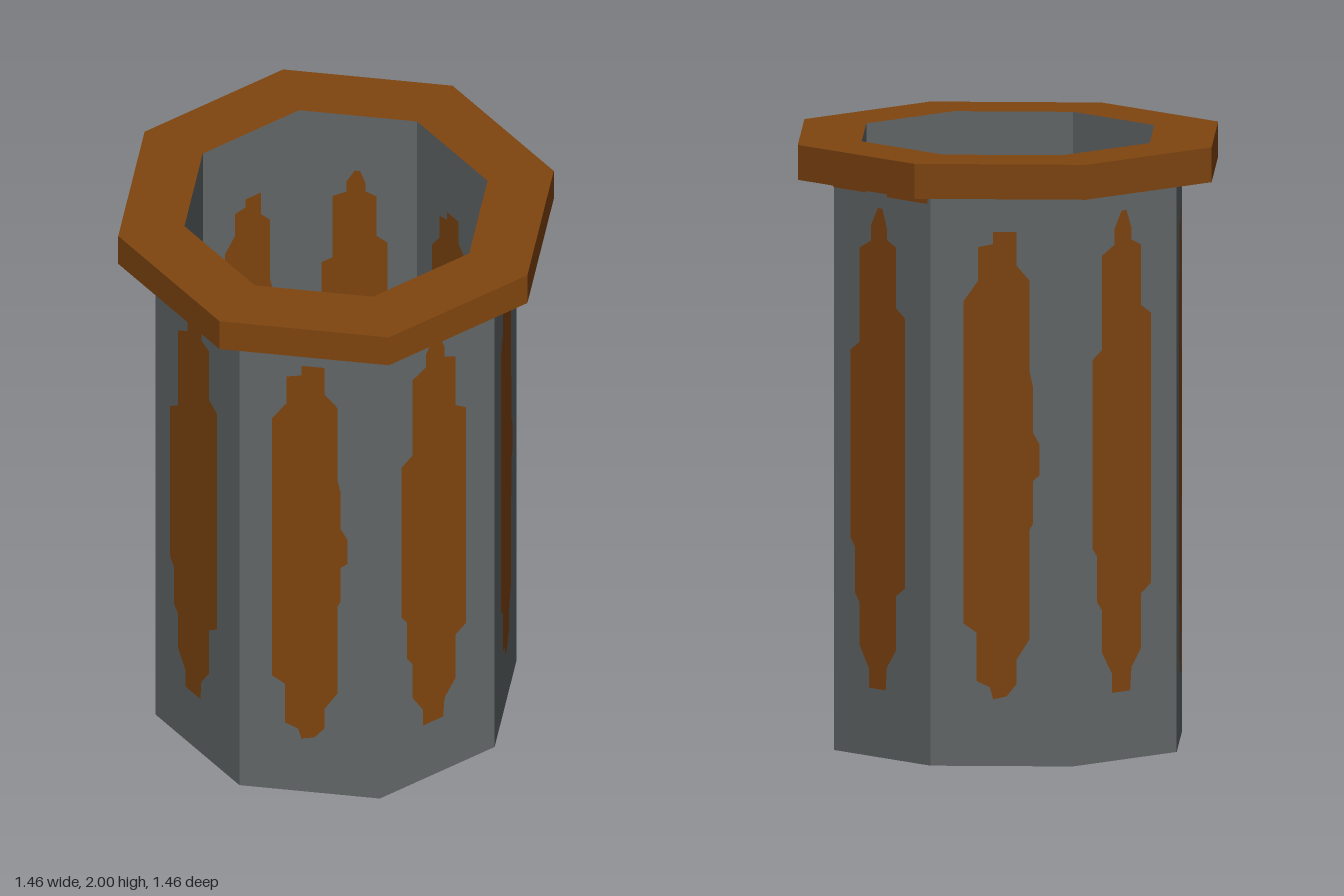
import * as THREE from 'three';

const OUTER = 0.605, INNER = 0.508, RIM = 0.73, RIM_Y = 1.885, TOP = 2;
const SLOPE = Math.SQRT2 - 1; // how far each side falls back per unit from its middle edge

const metal = new THREE.MeshStandardMaterial({ color: 0x626767 });
metal.name = 'grey metal';
const rust = new THREE.MeshStandardMaterial({ color: 0x7f450f });
rust.name = 'rust brown';

// Bends a flat panel over the middle edge of one side of the octagon.
function bend(geometry, radius, inward) {
  if (inward) geometry.rotateY(Math.PI);
  const p = geometry.attributes.position;
  for (let i = 0; i < p.count; i++) p.setZ(i, radius - Math.abs(p.getX(i)) * SLOPE);
  return geometry;
}

// Repeats a geometry on the four double-faced sides.
function fourSides(parent, name, geometry, material) {
  const group = new THREE.Group();
  group.name = name;
  for (let i = 0; i < 4; i++) {
    const mesh = new THREE.Mesh(geometry, material);
    mesh.name = name + 'Side';
    mesh.rotation.y = i * Math.PI / 2;
    group.add(mesh);
  }
  parent.add(group);
}

function wall(parent, name, radius, y0, y1, material, inward = false) {
  const g = new THREE.PlaneGeometry(radius * Math.SQRT2, y1 - y0, 2, 1);
  g.translate(0, (y0 + y1) / 2, 0);
  fourSides(parent, name, bend(g, radius, inward), material);
}

function ring(parent, name, r0, r1, y, material, down = false) {
  const g = new THREE.RingGeometry(r0, r1, 8, 1);
  g.rotateX(down ? Math.PI / 2 : -Math.PI / 2);
  const mesh = new THREE.Mesh(g, material);
  mesh.name = name;
  mesh.position.y = y;
  parent.add(mesh);
}

// Ragged outlines of the two rust streaks on each side
const streaks = [
  [[-0.24, 0.22], [-0.2, 0.23], [-0.17, 0.27], [-0.17, 0.35], [-0.13, 0.42], [-0.13, 0.78],
    [-0.12, 0.8], [-0.12, 0.94], [-0.1, 0.96], [-0.1, 1.06], [-0.12, 1.1], [-0.12, 1.25],
    [-0.13, 1.3], [-0.13, 1.6], [-0.17, 1.65], [-0.17, 1.76], [-0.24, 1.76], [-0.24, 1.72],
    [-0.285, 1.71], [-0.285, 1.6], [-0.33, 1.53], [-0.33, 0.47], [-0.29, 0.44],
    [-0.29, 0.28], [-0.25, 0.26]],
  [[0.16, 0.225], [0.235, 0.225], [0.24, 0.3], [0.28, 0.36], [0.28, 0.54], [0.32, 0.57],
    [0.32, 1.46], [0.28, 1.49], [0.28, 1.69], [0.24, 1.71], [0.24, 1.75], [0.22, 1.81],
    [0.2, 1.81], [0.17, 1.75], [0.17, 1.7], [0.12, 1.67], [0.12, 1.36], [0.08, 1.33],
    [0.08, 0.71], [0.1, 0.68], [0.1, 0.53], [0.12, 0.5], [0.12, 0.36], [0.16, 0.29]],
];

function streakGeometry(points, sx = 1, sy = 1, dy = 0) {
  const shape = new THREE.Shape(points.map(([x, y]) => new THREE.Vector2(x * sx, y * sy + dy)));
  return new THREE.ShapeGeometry(shape);
}

export function createModel() {
  const model = new THREE.Group();
  model.name = 'octagonalPipe';

  // Pipe body, open at both ends
  wall(model, 'outerWall', OUTER, 0, RIM_Y, metal);
  wall(model, 'innerWall', INNER, 0.38, TOP, metal, true);
  wall(model, 'innerRustBand', INNER, 0, 0.38, rust, true);
  ring(model, 'bottomEdge', INNER, OUTER, 0, metal, true);

  // Wide rim
  wall(model, 'rimWall', RIM, RIM_Y, TOP, rust);
  ring(model, 'rimTop', INNER, RIM, TOP, rust);
  ring(model, 'rimUnderside', OUTER, RIM, RIM_Y, rust, true);

  // Rust streaks outside and inside
  for (const points of streaks) {
    fourSides(model, 'outerStreak', bend(streakGeometry(points), OUTER + 0.004, false), rust);
    const inside = streakGeometry(points, 0.84, 0.815, 0.3);
    fourSides(model, 'innerStreak', bend(inside, INNER - 0.004, true), rust);
  }

  // Small stains below the rim: [side, from, to, height]
  for (const [side, a, b, h] of [[0, -0.25, -0.17, 0.03], [1, -0.08, 0.15, 0.03], [1, 0.24, 0.42, 0.035]]) {
    const g = new THREE.PlaneGeometry(b - a, h, 8, 1);
    g.translate((a + b) / 2, RIM_Y - h / 2, 0);
    const stain = new THREE.Mesh(bend(g, OUTER + 0.004, false), rust);
    stain.name = 'rimStain';
    stain.rotation.y = side * Math.PI / 2;
    model.add(stain);
  }
  return model;
}
